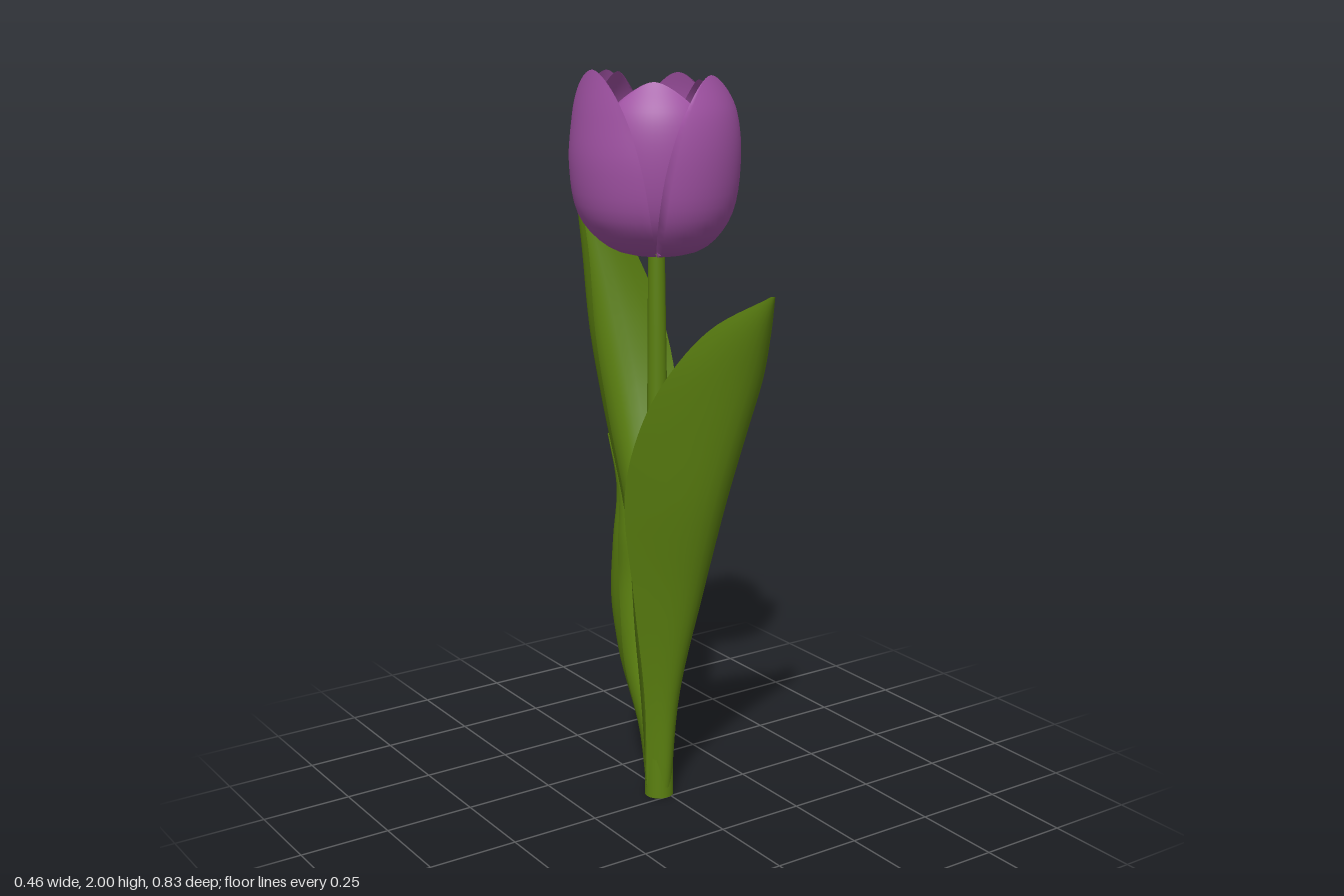
import * as THREE from 'three';

const flat = (name, color) => {
  const m = new THREE.MeshStandardMaterial({ color, side: THREE.DoubleSide });
  m.name = name;
  return m;
};

// Smooth sheet from a rule point(u, v), with u and v in 0..1
function sheet(point, nu, nv) {
  const pos = [], index = [];
  for (let j = 0; j <= nv; j++) {
    for (let i = 0; i <= nu; i++) pos.push(...point(i / nu, j / nv));
  }
  for (let j = 0; j < nv; j++) {
    for (let i = 0; i < nu; i++) {
      const a = j * (nu + 1) + i, b = a + 1, c = a + nu + 1, d = c + 1;
      index.push(a, d, b, a, c, d);
    }
  }
  const g = new THREE.BufferGeometry();
  g.setAttribute('position', new THREE.Float32BufferAttribute(pos, 3));
  g.setIndex(index);
  g.computeVertexNormals();
  return g;
}

// Leaf from level sections: [y, midX, midZ, leftX, leftZ, rightX, rightZ]
function leafGeometry(rows) {
  const line = (k) => new THREE.CatmullRomCurve3(
    rows.map((r) => new THREE.Vector3(r[k], r[0], r[k + 1])));
  const mid = line(1), left = line(3), right = line(5);
  return sheet((u, v) => {
    const l = left.getPoint(v), m = mid.getPoint(v), r = right.getPoint(v);
    // Parabola through the two edges and the midrib
    return l.multiplyScalar((1 - u) * (1 - 2 * u))
      .addScaledVector(m, 4 * u * (1 - u))
      .addScaledVector(r, u * (2 * u - 1)).toArray();
  }, 12, 40);
}

// Fleshy cupped petal: profile of [radius, y], wrapped around the flower axis.
// Each section runs across the outer face and back along the inner one.
function petalGeometry(profile, degrees, halfWidth) {
  const curve = new THREE.CatmullRomCurve3(
    profile.map(([r, y]) => new THREE.Vector3(r, y, 0)));
  const angle = THREE.MathUtils.degToRad(degrees);
  return sheet((u, s) => {
    const v = 1 - (1 - s) ** 1.6;
    const p = curve.getPoint(v);
    const across = u <= 0.5 ? 4 * u - 1 : 3 - 4 * u;
    const thickness = u <= 0.5 ? 0 : 0.022 * (1 - across ** 4) * Math.sin(Math.PI * v) ** 2;
    const a = angle + across * halfWidth * Math.max(0, 1 - v ** 3) ** 0.58;
    const r = p.x - thickness;
    return [r * Math.cos(a), p.y, r * Math.sin(a)];
  }, 36, 28);
}

export function createModel() {
  const model = new THREE.Group();
  const green = flat('leaf green', 0x5b8010);
  const purple = flat('petal purple', 0xa152a4);
  const magenta = flat('throat magenta', 0x962d6c);
  const yellow = flat('centre yellow', 0xae9812);

  const add = (parent, name, geometry, material) => {
    const mesh = new THREE.Mesh(geometry, material);
    mesh.name = name;
    parent.add(mesh);
    return mesh;
  };

  // Stem
  const stem = add(model, 'stem', new THREE.CylinderGeometry(0.022, 0.04, 1.53, 24, 8), green);
  stem.position.set(-0.016, 0.765, -0.039);
  stem.rotation.x = -0.005;

  // Leaves, each wrapped round the stem at its base
  const base = (z) => [0.01, -0.016, z, -0.055, -0.037, 0.023, -0.037];
  const leaves = {
    frontLeaf: [
      base(0.003),
      [0.3, -0.01, 0.027, -0.07, -0.025, 0.04, -0.02],
      [0.6, 0, 0.1, -0.11, -0.015, 0.08, 0.02],
      [0.9, 0, 0.2, -0.15, 0.005, 0.11, 0.07],
      [1.1, 0.01, 0.27, -0.145, 0.075, 0.115, 0.15],
      [1.25, 0.02, 0.325, -0.115, 0.16, 0.12, 0.22],
      [1.38, 0.02, 0.375, -0.06, 0.265, 0.09, 0.3],
      [1.475, 0.022, 0.415, 0.015, 0.41, 0.028, 0.41],
    ],
    tallBackLeaf: [
      base(-0.077),
      [0.3, -0.02, -0.075, -0.085, -0.02, 0.04, -0.03],
      [0.55, -0.02, -0.095, -0.12, 0, 0.08, -0.05],
      [0.8, 0, -0.18, -0.115, -0.03, 0.11, -0.1],
      [1.1, 0, -0.285, -0.13, -0.105, 0.152, -0.19],
      [1.3, -0.01, -0.34, -0.12, -0.18, 0.138, -0.24],
      [1.5, -0.02, -0.38, -0.085, -0.265, 0.08, -0.3],
      [1.62, -0.03, -0.4, -0.06, -0.34, 0.025, -0.35],
      [1.715, -0.03, -0.415, -0.038, -0.41, -0.022, -0.41],
    ],
    shortBackLeaf: [
      base(-0.077),
      [0.2, -0.015, -0.11, -0.075, -0.04, 0.055, -0.06],
      [0.4, -0.015, -0.195, -0.115, -0.055, 0.14, -0.15],
      [0.55, -0.015, -0.24, -0.115, -0.075, 0.17, -0.2],
      [0.7, 0.005, -0.265, -0.08, -0.14, 0.145, -0.235],
      [0.83, 0.04, -0.31, -0.015, -0.235, 0.12, -0.29],
      [0.95, 0.068, -0.415, 0.06, -0.41, 0.076, -0.41],
    ],
  };
  for (const [name, rows] of Object.entries(leaves)) add(model, name, leafGeometry(rows), green);

  // Flower head
  const flower = new THREE.Group();
  flower.name = 'flower';
  flower.position.set(0, 0, -0.06);
  model.add(flower);

  // Outer petals: [name, angle, widest radius, tip radius, tip height, half width]
  const outer = [
    ['frontOuterPetal', 70, 0.214, 0.165, 1.985, 0.97],
    ['rightOuterPetal', 178, 0.229, 0.2, 2, 0.9],
    ['backOuterPetal', 257, 0.22, 0.185, 1.985, 0.8],
    ['leftOuterPetal', 320, 0.228, 0.195, 1.975, 0.68],
  ];
  for (const [name, deg, wide, tipR, tipY, halfWidth] of outer) {
    const profile = [[0.015, 1.512], [0.125, 1.54], [wide * 0.89, 1.62], [wide, 1.75],
      [wide * 0.96, 1.88], [tipR, tipY]];
    add(flower, name, petalGeometry(profile, deg, halfWidth), purple);
  }

  // Inner petals: [name, angle, size, tip height]
  const inner = [
    ['leftInnerPetal', 10, 0.97, 1.965],
    ['frontInnerPetal', 128, 1.02, 1.97],
    ['backInnerPetal', 245, 0.99, 1.985],
  ];
  for (const [name, deg, k, tipY] of inner) {
    const profile = [[0.015, 1.518], [0.095, 1.545], [0.155 * k, 1.62], [0.182 * k, 1.75],
      [0.172 * k, 1.88], [0.122 * k, tipY]];
    add(flower, name, petalGeometry(profile, deg, 1.2), purple);
  }

  // Faceted cup down inside the petals: purple wall, magenta ring, yellow centre
  const facets = (pts) => {
    const g = new THREE.LatheGeometry(
      pts.map(([r, y]) => new THREE.Vector2(r, y)), 8, Math.PI / 8).toNonIndexed();
    g.computeVertexNormals();
    return g;
  };
  add(flower, 'throatWall', facets([[0.092, 1.605], [0.15, 1.7]]), purple);
  add(flower, 'throatRing', facets([[0.064, 1.572], [0.092, 1.605]]), magenta);
  add(flower, 'flowerCentre', facets([[0, 1.53], [0.064, 1.572]]), yellow);

  return model;
}
